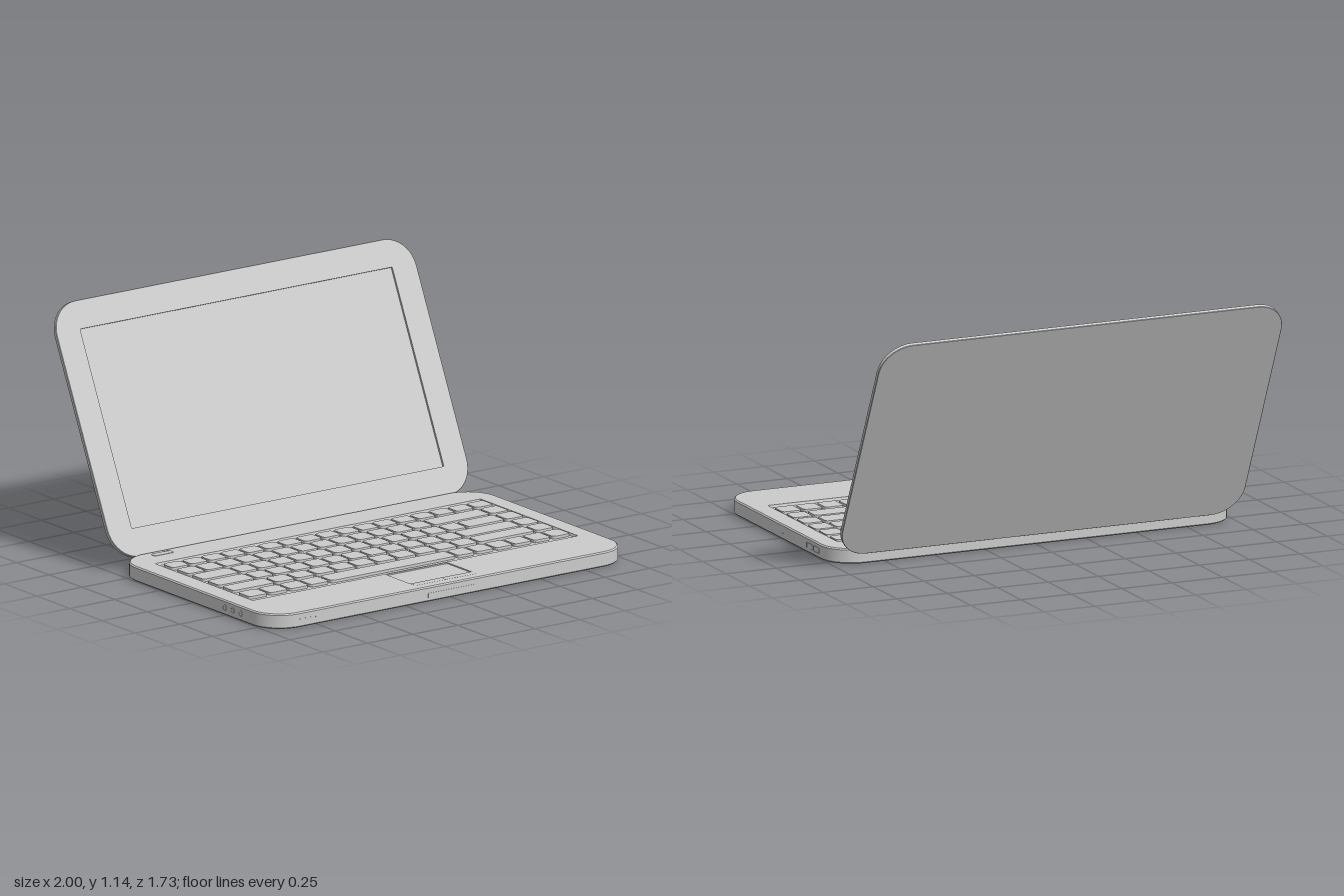
import * as THREE from 'three';
import { mergeGeometries, toCreasedNormals } from 'three/addons/utils/BufferGeometryUtils.js';

const material = new THREE.MeshStandardMaterial({ color: 0xcccccc, side: THREE.DoubleSide });

// Counter-clockwise outline of a rounded rectangle, shrunk by an inset
function outline({ x = 0, y = 0, w, h, r, seg = 3 }, inset = 0) {
  const pts = [];
  const rad = Math.max(r - inset, 0.0005);
  const hw = w / 2 - inset - rad, hh = h / 2 - inset - rad;
  [[1, 1], [-1, 1], [-1, -1], [1, -1]].forEach(([sx, sy], k) => {
    for (let i = 0; i <= seg; i++) {
      const a = (k + i / seg) * Math.PI / 2;
      pts.push(new THREE.Vector2(x + sx * hw + rad * Math.cos(a), y + sy * hh + rad * Math.sin(a)));
    }
  });
  return pts;
}

// Flat face at height z, with optional holes
function cap(rect, inset, z, holes = [], faceDown = false) {
  const shape = new THREE.Shape(outline(rect, inset));
  holes.forEach((h) => shape.holes.push(new THREE.Path(outline(h).reverse())));
  const g = new THREE.ShapeGeometry(shape);
  if (faceDown) g.index.array.reverse();
  return g.translate(0, 0, z).toNonIndexed();
}

// Walls through rings given as [inset, z]; rising rings face out, falling rings face in
function walls(rect, profile) {
  const rings = profile.map(([inset, z]) => outline(rect, inset).map((p) => [p.x, p.y, z]));
  const n = rings[0].length, pos = [];
  for (let k = 0; k < rings.length - 1; k++) {
    for (let i = 0; i < n; i++) {
      const j = (i + 1) % n;
      const [a, b, c, d] = [rings[k][i], rings[k][j], rings[k + 1][j], rings[k + 1][i]];
      pos.push(...a, ...b, ...c, ...a, ...c, ...d);
    }
  }
  const g = new THREE.BufferGeometry();
  g.setAttribute('position', new THREE.Float32BufferAttribute(pos, 3));
  return g;
}

function meshOf(name, parts) {
  parts.forEach((g) => { g.deleteAttribute('uv'); g.deleteAttribute('normal'); });
  const mesh = new THREE.Mesh(toCreasedNormals(mergeGeometries(parts), 0.5), material);
  mesh.name = name;
  return mesh;
}

// Slab with bevelled edges and an opening for each recess
function slab(name, rect, z0, z1, bevel, holes) {
  return meshOf(name, [
    walls(rect, [[bevel, z0], [0, z0 + bevel], [0, z1 - bevel], [bevel, z1]]),
    cap(rect, bevel, z1, holes),
    cap(rect, bevel, z0, [], true),
  ]);
}

// Walls plus a closing face at the last ring: a raised pad or a sunken pocket
function pad(name, rect, profile) {
  const [inset, z] = profile[profile.length - 1];
  return meshOf(name, [walls(rect, profile), cap(rect, inset, z)]);
}

// Rectangle from its edges
const box = (x0, x1, y0, y1, r, seg) =>
  ({ x: (x0 + x1) / 2, y: (y0 + y1) / 2, w: x1 - x0, h: y1 - y0, r, seg });

const RAISED = [[0, -0.001], [0, 0.002], [0.001, 0.0025]];
const SOCKET = [[0, -0.001], [0, 0.002], [0.003, 0.002], [0.003, 0.0005]];

function makeKeyboard() {
  const keys = new THREE.Group();
  keys.name = 'keys';
  const ones = (n, w = 1) => Array(n).fill(w);
  // Each row: front and back z, then key widths in units adding up to 17
  const rows = [
    [-0.145, -0.065, ones(17)],
    [-0.04, 0.055, [...ones(13), 3, 1]],
    [0.075, 0.17, [2, ...ones(12), 2, 1]],
    [0.195, 0.29, [2, ...ones(11), 3, 1]],
    [0.31, 0.40, [2.3, ...ones(10, 1.07), 3, 1]],
    [0.43, 0.525, [...ones(4, 1.08), 6.68, ...ones(6)]],
  ];
  const unit = 0.1055;
  for (const [z0, z1, widths] of rows) {
    let x = -0.885;
    for (const w of widths) {
      const rect = box(x + 0.006, x + w * unit - 0.006, -z1, -z0, 0.016);
      keys.add(pad('key', rect, [[0, 0.056], [0, 0.071], [0.003, 0.073]]));
      x += w * unit;
    }
  }
  return keys;
}

function makeBase() {
  // Drawn flat with z as height, then laid down
  const base = new THREE.Group();
  base.name = 'base';
  base.rotation.x = -Math.PI / 2;
  const top = 0.07;
  const well = box(-0.9, 0.91, -0.575, 0.172, 0.004, 1);
  const touch = box(-0.165, 0.175, -0.77, -0.585, 0.004, 1);
  base.add(slab('baseBody', box(-1, 1, -0.86, 0.335, 0.15, 10), 0, top, 0.006, [well, touch]));
  base.add(pad('keyboardWell', well, [[0, top], [0.004, 0.058]]));
  base.add(pad('touchpad', touch, [[0, top], [0.001, 0.065]]));
  base.add(makeKeyboard());

  // Touchpad buttons and power button
  for (const [x0, x1] of [[-0.165, 0.003], [0.007, 0.175]]) {
    const button = pad('touchpadButton', box(x0, x1, -0.81, -0.775, 0.004), [[0, -0.001], [0, 0.0005], [0.001, 0.001]]);
    button.position.z = top;
    base.add(button);
  }
  const power = pad('powerButton', box(-0.83, -0.72, 0.27, 0.307, 0.015, 5), RAISED);
  power.position.z = top;
  base.add(power);
  return base;
}

function makeSideDetails() {
  const details = new THREE.Group();
  details.name = 'edgeDetails';

  // Left side: two ports and a thin slot (local x runs along -z)
  const left = new THREE.Group();
  left.name = 'leftPorts';
  left.position.x = 1;
  left.rotation.y = Math.PI / 2;
  left.add(pad('port', box(0.035, 0.1, 0.02, 0.048, 0.005), SOCKET));
  left.add(pad('port', box(0.106, 0.17, 0.02, 0.048, 0.005), SOCKET));
  left.add(pad('slot', box(-0.28, -0.22, 0.026, 0.034, 0.002), [[0, -0.001], [0, 0.001]]));

  // Right side: small round jacks (local x runs along +z)
  const right = new THREE.Group();
  right.name = 'rightJacks';
  right.position.x = -1;
  right.rotation.y = -Math.PI / 2;
  for (const z of [0.5, 0.56, 0.62]) {
    right.add(pad('jack', box(z - 0.014, z + 0.014, 0.022, 0.05, 0.014, 4), SOCKET));
  }

  // Front: opening lip and status lights
  const front = new THREE.Group();
  front.name = 'frontDetails';
  front.position.z = 0.86;
  front.add(pad('openingLip', box(-0.13, 0.13, 0.015, 0.04, 0.003), [[0, -0.001], [0, 0.001]]));
  for (let i = 0; i < 4; i++) {
    const x = -0.84 + i * 0.03;
    front.add(pad('statusLight', box(x - 0.006, x + 0.006, 0.032, 0.04, 0.002), RAISED));
  }
  details.add(left, right, front);
  return details;
}

function makeLid() {
  // Drawn upright from its lower edge, then tilted back
  const lid = new THREE.Group();
  lid.name = 'lid';
  const height = 1.194;
  const opening = box(-0.868, 0.868, 0.133, 1.063, 0.002, 1);
  lid.add(slab('lidShell', box(-1, 1, 0, height, 0.145, 10), -0.02, 0, 0.002, [opening]));
  lid.add(pad('screen', opening, [[0, 0], [0, -0.01]]));
  lid.position.set(0, 0.058, -0.338);
  lid.rotation.x = -0.44;
  return lid;
}

export function createModel() {
  const model = new THREE.Group();
  model.name = 'laptop';
  model.add(makeBase(), makeSideDetails(), makeLid());
  return model;
}
